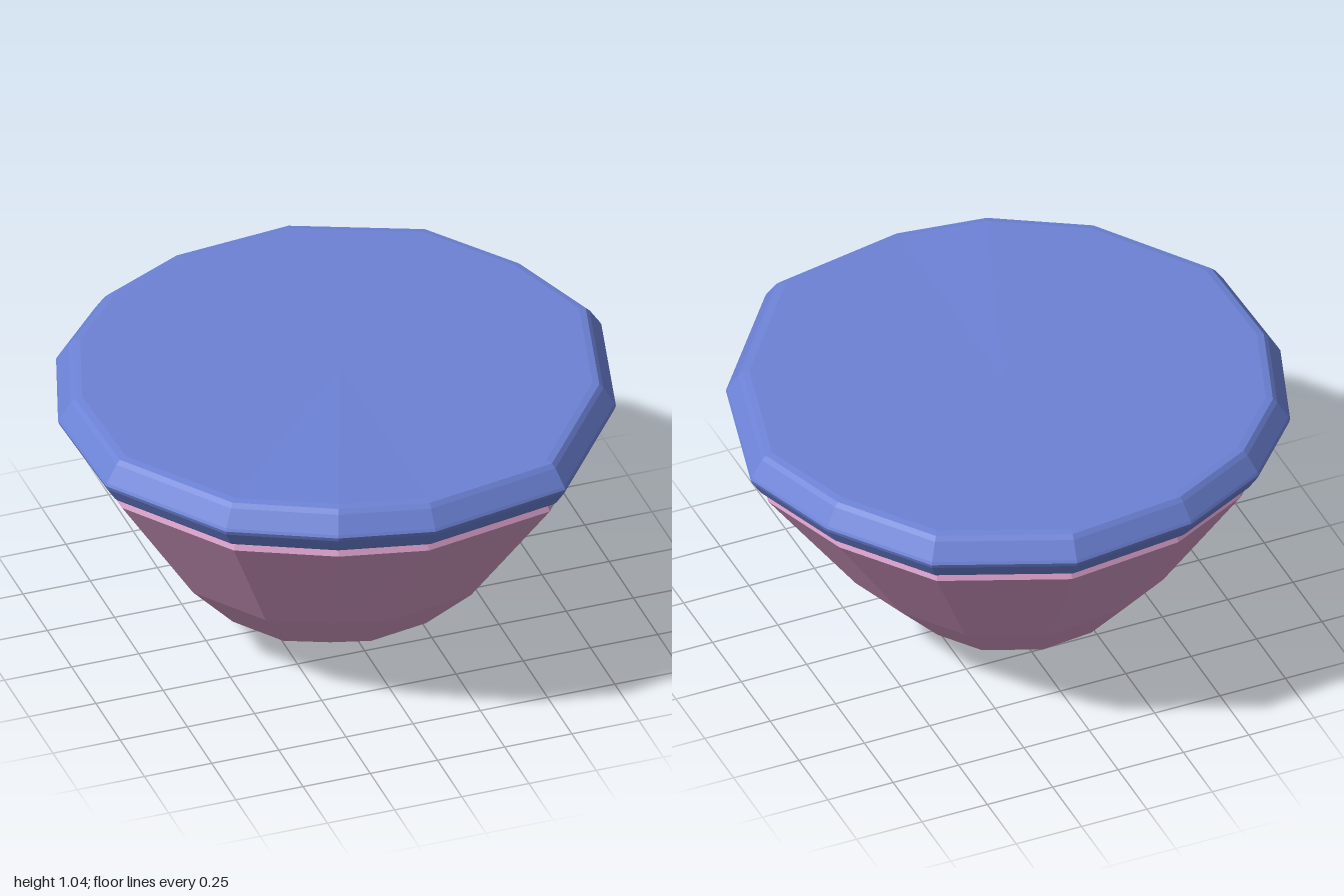
import * as THREE from 'three';

// Irregular plan outline [x, z], running from the front round through +x
const OUTLINE = [
  [0, 0.98], [0.52, 0.88], [0.87, 0.43], [1, -0.08], [0.87, -0.45], [0.62, -0.79], [0.15, -0.985],
  [-0.31, -0.935], [-0.64, -0.77], [-0.87, -0.52], [-1, -0.14], [-0.985, 0.31], [-0.69, 0.73], [-0.34, 0.92],
];
const N = OUTLINE.length;
const RAISED = N - 1; // one corner sits slightly higher

// Skin rings from bottom to top; ring = [scale, y, xShift, zShift], scale 0 is a point
function loft(rings) {
  const pos = [], index = [];
  for (const [s, y, dx = 0, dz = 0] of rings) {
    OUTLINE.forEach(([x, z], i) => {
      pos.push(x * s + dx, y + (s > 0 && i === RAISED ? 0.01 : 0), z * s + dz);
    });
  }
  for (let k = 0; k < rings.length - 1; k++) {
    for (let i = 0; i < N; i++) {
      const j = (i + 1) % N;
      const a = k * N + i, b = k * N + j, c = a + N, d = b + N;
      if (rings[k][0] === 0) index.push(k * N, d, c);
      else if (rings[k + 1][0] === 0) index.push(a, b, (k + 1) * N);
      else index.push(a, b, d, a, d, c);
    }
  }
  const g = new THREE.BufferGeometry();
  g.setAttribute('position', new THREE.Float32BufferAttribute(pos, 3));
  g.setIndex(index);
  g.computeVertexNormals();
  return g;
}

export function createModel() {
  const group = new THREE.Group();
  group.name = 'floatingIsland';
  const add = (name, rings, color, flatShading) => {
    const mesh = new THREE.Mesh(loft(rings), new THREE.MeshStandardMaterial({ color, flatShading }));
    mesh.name = name;
    group.add(mesh);
  };

  // Bevelled ground slab
  add('groundSlab', [
    [0, 0.85], [0.925, 0.85], [0.945, 0.856], [0.96, 0.87], [0.995, 0.925], [1, 0.94],
    [0.995, 0.95], [0.955, 1.01], [0.94, 1.025], [0.915, 1.03], [0, 1.03],
  ], 0x6c82d6, true);

  // Faceted rock tapering downward, with a thin chamfer under the slab
  add('rockBody', [
    [0.42, 0.14, -0.03, -0.01], [0.605, 0.34, -0.02, 0], [0.93, 0.82], [0.915, 0.85], [0, 0.85],
  ], 0xd49ac4, true);

  // Smooth shallow point at the bottom
  add('rockTip', [[0, 0, -0.02, -0.01], [0.42, 0.14, -0.03, -0.01]], 0xd49ac4, false);

  return group;
}
